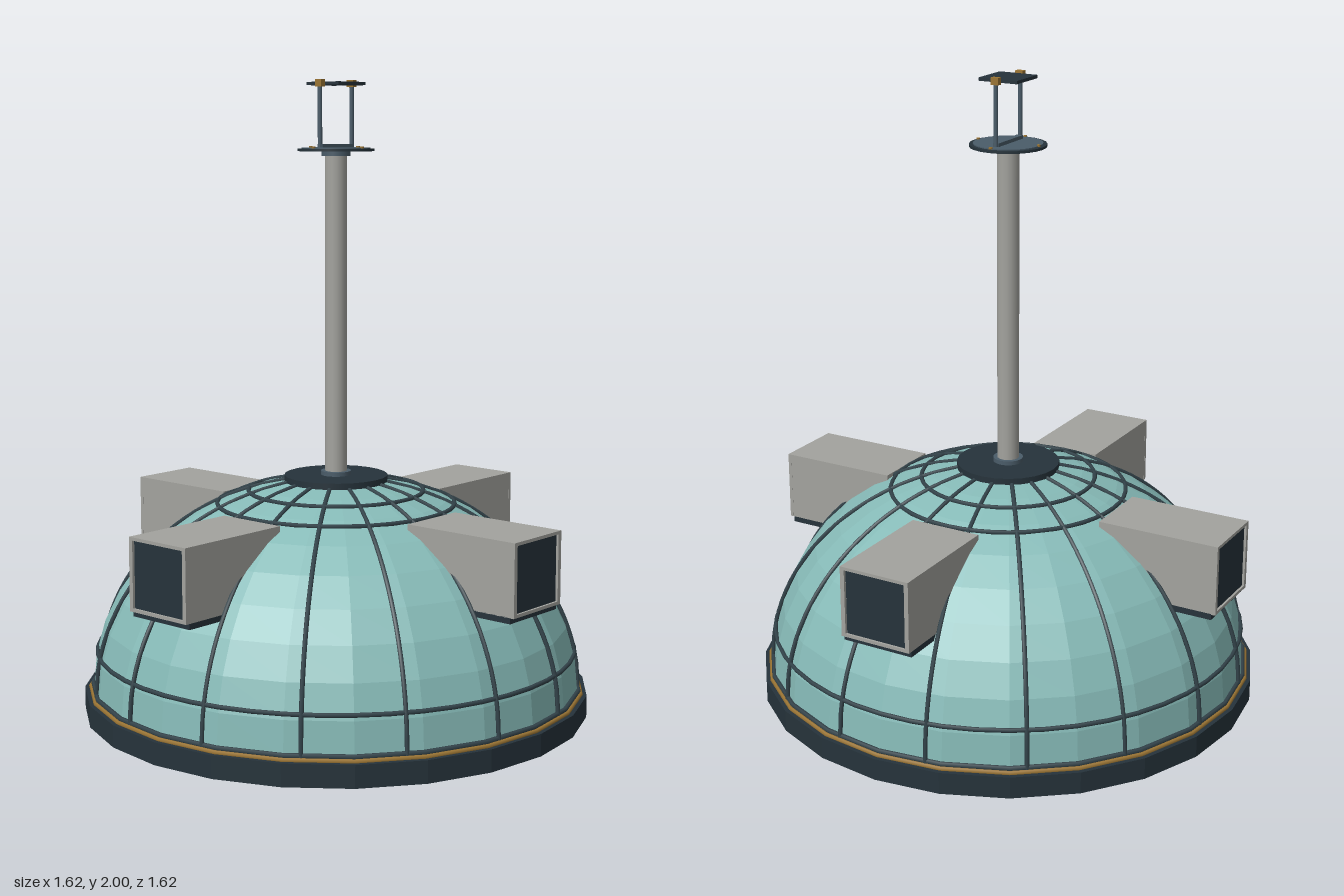
import * as THREE from 'three';

const mat = (color, extra = {}) => new THREE.MeshStandardMaterial({ color, ...extra });
const TEAL = mat(0x86bab7, { flatShading: true });
const DARK = mat(0x26333b);
const DARK_FLAT = mat(0x26333b, { flatShading: true });
const RIB = mat(0x33434a);
const STEEL = mat(0x4a5c69);
const GREY = mat(0xa3a39e);
const BRASS = mat(0x9a7433);

// Dome ellipse: radius A at height Y0, rising by B
const A = 0.78, B = 0.67, Y0 = 0.08;
const domeY = (r) => Y0 + B * Math.sqrt(Math.max(0, 1 - (r / A) ** 2));

function add(parent, name, geometry, material, x = 0, y = 0, z = 0) {
  const mesh = new THREE.Mesh(geometry, material);
  mesh.name = name;
  mesh.position.set(x, y, z);
  parent.add(mesh);
  return mesh;
}

// Upright disc or rod given by its bottom and top heights
function rod(parent, name, r, y0, y1, material, sides = 24, x = 0, z = 0) {
  return add(parent, name, new THREE.CylinderGeometry(r, r, y1 - y0, sides), material, x, (y0 + y1) / 2, z);
}

function box(parent, name, w, h, d, material, x, y, z) {
  return add(parent, name, new THREE.BoxGeometry(w, h, d), material, x, y, z);
}

function hoop(parent, name, r, y, thickness, material, sides = 48) {
  add(parent, name, new THREE.TorusGeometry(r, thickness, 6, sides), material, 0, y, 0).rotation.x = Math.PI / 2;
}

// One housing that pokes out of the dome towards +z
function createHousing() {
  const g = new THREE.Group();
  g.name = 'housing';
  box(g, 'housingBody', 0.235, 0.225, 0.39, GREY, 0, 0.5525, 0.585);
  box(g, 'housingSill', 0.235, 0.02, 0.385, DARK, 0, 0.432, 0.5825);
  box(g, 'housingWindow', 0.205, 0.205, 0.01, DARK, 0, 0.552, 0.777);
  // Thin frame around the window
  for (const s of [-1, 1]) {
    box(g, 'frameSide', 0.014, 0.225, 0.012, GREY, s * 0.111, 0.5525, 0.783);
    box(g, 'frameEdge', 0.235, 0.01, 0.012, GREY, 0, 0.5525 + s * 0.1075, 0.783);
  }
  return g;
}

// Platform with two posts carrying a small plate
function createMastHead() {
  const g = new THREE.Group();
  g.name = 'mastHead';
  rod(g, 'platformFlange', 0.045, 1.765, 1.78, STEEL);
  rod(g, 'platform', 0.12, 1.78, 1.788, DARK);
  rod(g, 'platformDeck', 0.108, 1.786, 1.791, STEEL);
  for (let i = 0; i < 4; i++) {
    const a = i * Math.PI / 2;
    rod(g, 'deckBolt', 0.006, 1.789, 1.795, BRASS, 8, 0.106 * Math.cos(a), 0.106 * Math.sin(a));
  }
  box(g, 'postFootBar', 0.15, 0.012, 0.02, STEEL, 0, 1.796, 0);
  for (const s of [-1, 1]) {
    rod(g, 'post', 0.007, 1.79, 1.985, STEEL, 10, s * 0.075);
    box(g, 'pivot', 0.018, 0.022, 0.026, BRASS, s * 0.075, 1.989, 0);
  }
  box(g, 'plateAxle', 0.15, 0.007, 0.012, STEEL, 0, 1.986, 0);
  box(g, 'plate', 0.128, 0.01, 0.132, DARK, 0, 1.988, 0);
  return g;
}

export function createModel() {
  const model = new THREE.Group();
  model.name = 'domeWithMast';

  // Base
  rod(model, 'base', 0.81, 0, 0.07, DARK_FLAT);
  hoop(model, 'baseLip', 0.79, 0.073, 0.008, BRASS, 24);
  hoop(model, 'baseRing', 0.783, 0.084, 0.008, RIB, 24);

  // Faceted dome
  const domeGeo = new THREE.SphereGeometry(1, 24, 10, 0, Math.PI * 2, 0, Math.PI / 2);
  domeGeo.scale(A, B, A);
  add(model, 'dome', domeGeo, TEAL, 0, Y0, 0);

  // Meridian ribs
  const points = [];
  for (let i = 0; i <= 10; i++) {
    const t = (i / 10) * 1.37;
    points.push(new THREE.Vector3(0, Y0 + B * Math.sin(t), A * Math.cos(t)));
  }
  const ribGeo = new THREE.TubeGeometry(new THREE.CatmullRomCurve3(points), 24, 0.007, 6);
  for (let i = 0; i < 16; i++) {
    add(model, 'domeRib', ribGeo, RIB).rotation.y = (i + 0.5) * Math.PI / 8;
  }

  // Horizontal hoops
  for (const r of [0.767, 0.38, 0.28]) hoop(model, 'domeHoop', r, domeY(r), 0.007, RIB);

  // Four housings
  for (let i = 0; i < 4; i++) {
    const housing = createHousing();
    housing.rotation.y = i * Math.PI / 2;
    model.add(housing);
  }

  // Cap and mast
  rod(model, 'domeCap', 0.165, 0.735, 0.755, DARK);
  rod(model, 'mastCollar', 0.048, 0.755, 0.768, STEEL);
  rod(model, 'mast', 0.035, 0.75, 1.77, GREY, 16);
  model.add(createMastHead());
  return model;
}
